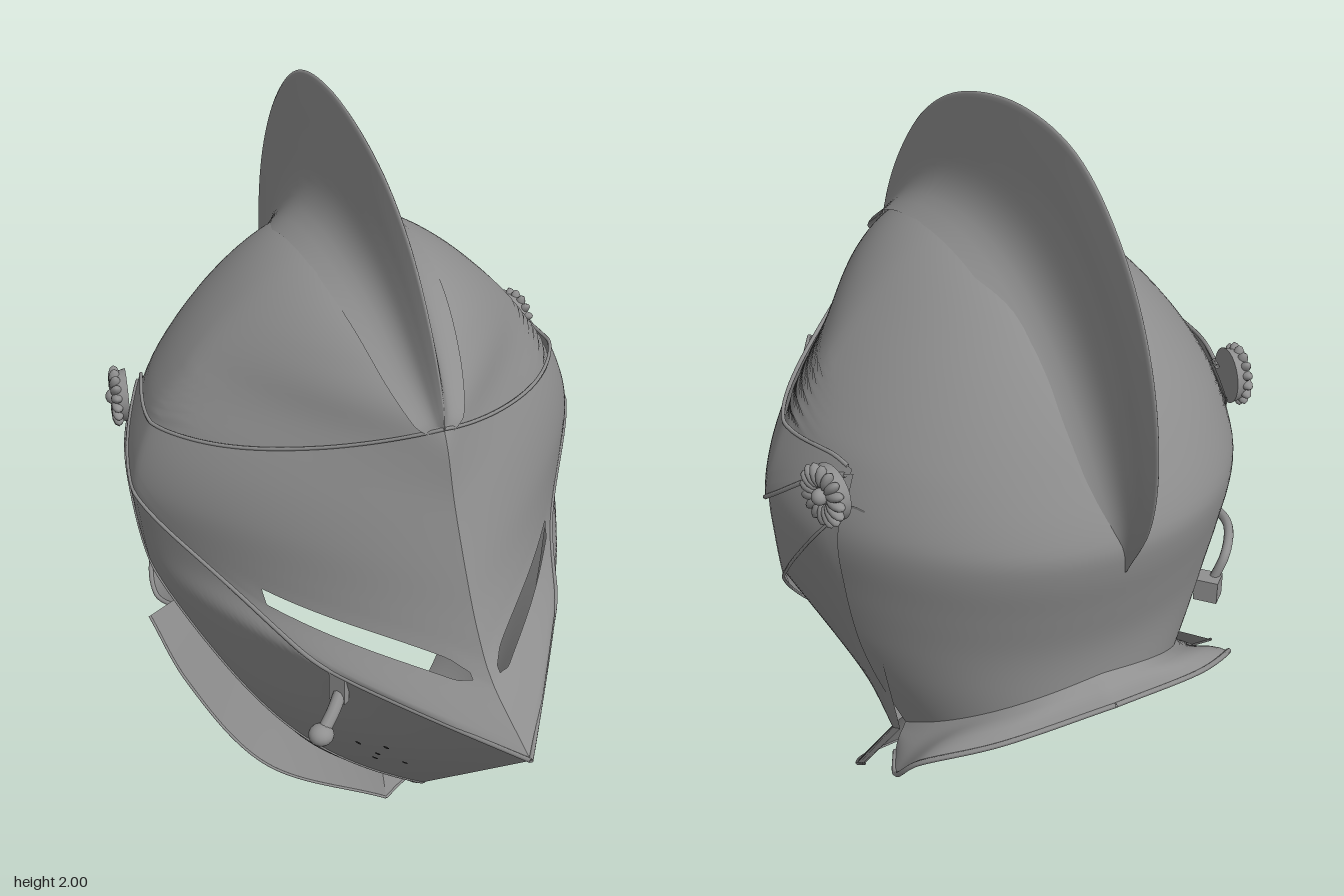
import * as THREE from 'three';
import { mergeGeometries, mergeVertices } from 'three/addons/utils/BufferGeometryUtils.js';

const { lerp, smoothstep, clamp } = THREE.MathUtils;
const V = (x, y, z) => new THREE.Vector3(x, y, z);

// Smooth interpolation through [key, value] pairs
function table(pts, key = k => k) {
  const p = pts.map(([k, v]) => [key(k), v]);
  const slope = i => {
    const a = p[Math.max(i - 1, 0)], b = p[Math.min(i + 1, p.length - 1)];
    return (b[1] - a[1]) / (b[0] - a[0]);
  };
  return k => {
    const q = clamp(key(k), p[0][0], p[p.length - 1][0]);
    let i = 0;
    while (i < p.length - 2 && q > p[i + 1][0]) i++;
    const h = p[i + 1][0] - p[i][0], t = (q - p[i][0]) / h, t2 = t * t, t3 = t2 * t;
    return (2 * t3 - 3 * t2 + 1) * p[i][1] + (t3 - 2 * t2 + t) * h * slope(i)
      + (3 * t2 - 2 * t3) * p[i + 1][1] + (t3 - t2) * h * slope(i + 1);
  };
}

// Helmet form by height: half width, front ridge, back line and roundness
const TOP = 1.69, ZW = -0.17;
const depth = y => Math.sqrt(Math.max(TOP - y, 0));
const width = table([[1.69, 0], [1.64, .19], [1.53, .335], [1.44, .42], [1.35, .49], [1.26, .545], [1.1, .597],
  [.95, .59], [.8, .567], [.7, .535], [.6, .49], [.466, .42], [.35, .36], [.2, .28]], depth);
const ridgeUpper = table([[1.69, ZW], [1.67, 0], [1.62, .13], [1.53, .265], [1.43, .385], [1.26, .455], [1.1, .534],
  [.98, .61], [.9, .7], [.836, .9]], depth);
const ridge = y => y > .836 ? ridgeUpper(y) : .9 - (.836 - y) * 1.07;
const back = table([[1.69, ZW], [1.67, -.34], [1.62, -.47], [1.53, -.58], [1.43, -.66], [1.3, -.735], [1.13, -.805],
  [1.05, -.8], [.92, -.765], [.8, -.735], [.7, -.725], [.4, -.72]], depth);
const power = table([[1.69, 2], [1.55, 1.7], [1.4, 1.35], [1.2, 1.35], [.95, 1.22], [.83, 1.22], [.7, 1.4], [.45, 2], [.2, 2.2]], depth);
const root = y => lerp(1, .5, smoothstep(y, 1.36, 1.66));
// Distance from the widest line, as a share of the way to the ridge (+) or the back (-)
const share = (z, y) => z > ZW
  ? Math.min((z - ZW) / Math.max(ridge(y) - ZW, 1e-4), 1)
  : Math.max((z - ZW) / Math.max(ZW - back(y), 1e-4), -1);
function half(z, y) {
  const s = share(z, y);
  return width(y) * (s > 0 ? Math.pow(1 - Math.pow(s, power(y)), root(y)) : Math.sqrt(1 - s * s));
}
// Point on the form: t = 0 on the front ridge, 1 at the widest place
function onForm(t, y, k = 1) {
  const z = ridge(y) - t * (ridge(y) - ZW);
  return V(half(z, y) * k, y, z);
}

// Surface from a rule fn(u, v)
function grid(fn, nu, nv, flip = false) {
  const pos = [], idx = [];
  for (let j = 0; j <= nv; j++) for (let i = 0; i <= nu; i++) pos.push(...fn(i / nu, j / nv).toArray());
  for (let j = 0; j < nv; j++) for (let i = 0; i < nu; i++) {
    const a = j * (nu + 1) + i, b = a + 1, c = a + nu + 1, d = c + 1;
    idx.push(...(flip ? [a, c, b, b, c, d] : [a, b, c, b, d, c]));
  }
  const g = new THREE.BufferGeometry();
  g.setAttribute('position', new THREE.Float32BufferAttribute(pos, 3));
  g.setIndex(idx);
  g.computeVertexNormals();
  return g;
}

export function createModel() {
  const steel = new THREE.MeshStandardMaterial({ color: 0x909090, side: THREE.DoubleSide });
  steel.name = 'steel';
  const dark = new THREE.MeshStandardMaterial({ color: 0x303030, side: THREE.DoubleSide });
  dark.name = 'dark hole';
  const model = new THREE.Group();
  model.name = 'helmet';
  const add = (name, geo, mat = steel, parent = model) => {
    const m = new THREE.Mesh(geo, mat);
    m.name = name;
    parent.add(m);
    return m;
  };
  const flipX = (p, s) => V(p.x * s, p.y, p.z);
  // Mirrored plate made of one or more [fn, nu, nv] patches welded together
  const plate = (name, patches) => [1, -1].forEach(s => {
    const gs = patches.map(([fn, nu, nv]) => grid((u, v) => flipX(fn(u, v), s), nu, nv, s > 0));
    gs.forEach(g => g.deleteAttribute('normal'));
    const g = mergeVertices(mergeGeometries(gs), 1e-4);
    g.computeVertexNormals();
    add(name + (s > 0 ? 'Left' : 'Right'), g);
  });
  const edge = (name, fn, r = .006) => [1, -1].forEach(s => {
    const pts = Array.from({ length: 33 }, (_, i) => flipX(fn(i / 32), s));
    add(name + (s > 0 ? 'Left' : 'Right'), new THREE.TubeGeometry(new THREE.CatmullRomCurve3(pts), 64, r, 6));
  });

  // Skull: open at the face, round at the back
  const skullAt = (c, v) => {
    const q = v * Math.sqrt(TOP - (.7 - .22 * Math.pow(c, 1.5)));
    const y = TOP - q * q, f = ridge(y), b = back(y);
    const start = share(lerp(-.42, f, smoothstep(y, 1.12, 1.4)), y);
    const s = Math.sin(lerp(-Math.PI / 2, Math.asin(start), c));
    const z = ZW + s * (s > 0 ? f - ZW : ZW - b);
    return V(half(z, y) * .985, y, z);
  };
  const sided = fn => (u, v) => flipX(fn(Math.abs(2 * u - 1), v), Math.sign(2 * u - 1));
  add('skull', grid(sided(skullAt), 96, 70));

  // Flared rim at the nape
  const rim = new THREE.CatmullRomCurve3([V(0, .645, -.785), V(.29, .6, -.73), V(.45, .535, -.63), V(.47, .45, -.55), V(.43, .445, -.47)]);
  const rimAt = (c, v) => {
    const p = skullAt(c, 1).lerp(rim.getPoint(c), v);
    p.y += .02 * Math.sin(Math.PI * v) * v;
    return p;
  };
  add('napeRim', grid(sided(rimAt), 64, 6));
  edge('napeEdge', c => rim.getPoint(c), .007);

  // Comb: thin fin that spreads into the skull
  const line = pts => new THREE.CatmullRomCurve3(pts.map(([z, y]) => V(0, y, z)));
  const crest = line([[.39, 1.42], [.375, 1.5], [.296, 1.656], [.164, 1.815], [-.02, 1.93], [-.31, 1.997], [-.55, 1.963],
    [-.735, 1.815], [-.857, 1.6], [-.903, 1.365], [-.884, 1.206], [-.805, 1.05]]);
  const foot = line([[.38, 1.4], [.36, 1.44], [.27, 1.52], [.14, 1.61], [0, 1.665], [-.2, 1.69], [-.38, 1.66],
    [-.53, 1.57], [-.66, 1.43], [-.75, 1.27], [-.79, 1.15], [-.79, 1.03]]);
  const finWidth = table([[-.1, .15], [0, .1], [.1, .07], [.25, .047], [.5, .03], [.75, .017], [1, .003]]);
  add('comb', grid((u, v) => {
    const w = 2 * v - 1, s = 1 - 1.1 * Math.pow(Math.abs(w), 1.3);
    const p = foot.getPoint(u).lerp(crest.getPoint(u), s);
    p.x = -Math.sign(w) * finWidth(s) * Math.pow(Math.sin(Math.PI * clamp(u, .004, .996)), .7);
    return p;
  }, 80, 40));

  // Plate edges as heights along t
  const visorTop = table([[0, 1.43], [.38, 1.33], [.68, 1.28], [1.03, 1.265], [1.3, 1.275], [1.4, 1.262]]);
  const slitTop = table([[0, .905], [.05, .91], [.1, .922], [.58, .937], [.75, 1], [1.04, 1.16], [1.4, 1.256]]);
  const slitLow = table([[0, .895], [.05, .9], [.1, .892], [.58, .902], [.75, .967], [1.04, 1.13], [1.4, 1.253]]);
  const visorLow = table([[0, .836], [.27, .825], [.465, .83], [.606, .873], [.785, .965], [1.04, 1.1], [1.28, 1.22], [1.4, 1.25]]);
  const chinLow = table([[0, .27], [.358, .38], [.607, .5], [.87, .7], [1.06, .9], [1.305, 1.1], [1.4, 1.17]]);
  const strip = (a, b, t0, t1, nu, nv, k) => [(u, v) => {
    const t = lerp(t0, t1, u);
    return onForm(t, lerp(a(t), b(t), v), k);
  }, nu, nv];

  // Visor with an open eye slit on each side
  const K = 1.015, visor = [];
  [[0, .05, 4], [.05, .58, 28], [.58, 1.4, 40]].forEach(([t0, t1, n], i) => {
    visor.push(strip(visorTop, slitTop, t0, t1, n, 24, K), strip(slitLow, visorLow, t0, t1, n, 8, K));
    if (i !== 1) visor.push(strip(slitTop, slitLow, t0, t1, n, 2, K));
  });
  plate('visor', visor);
  edge('visorTopEdge', u => onForm(u * 1.38, visorTop(u * 1.38), K), .005);
  edge('visorLowEdge', u => onForm(u * 1.38, visorLow(u * 1.38), K));

  // Upper bevor
  plate('upperBevor', [strip(visorLow, chinLow, 0, 1.4, 64, 30, 1)]);
  edge('upperBevorEdge', u => onForm(u * 1.38, chinLow(u * 1.38)), .004);

  // Lower bevor, drawn in to the throat
  const curve = pts => new THREE.CatmullRomCurve3(pts.map(p => V(...p)));
  const brow = new THREE.CatmullRomCurve3(Array.from({ length: 25 }, (_, i) => {
    const t = i / 24 * 1.46;
    return onForm(t, Math.min(chinLow(t) + .03, 1.18), .99);
  }));
  const jaw = curve([[0, .2, .2], [.25, .33, .08], [.385, .5, -.13], [.46, .7, -.34], [.475, .84, -.47]]);
  const throat = curve([[0, .17, -.02], [.2, .25, -.14], [.35, .37, -.3], [.41, .5, -.46]]);
  plate('lowerBevor', [[(u, v) => new THREE.CatmullRomCurve3(
    [brow.getPointAt(u), jaw.getPointAt(u), throat.getPointAt(u)]).getPoint(v), 48, 20]]);

  // Throat flange
  const hem = curve([[0, .003, .04], [.31, .12, -.1], [.46, .3, -.31], [.515, .44, -.47]]);
  plate('collar', [[(u, v) => throat.getPointAt(u).lerp(hem.getPointAt(u), v), 40, 4]]);
  edge('collarEdge', u => hem.getPointAt(u), .004);

  // Pivot rosettes
  [1, -1].forEach(s => {
    const g = new THREE.Group();
    g.name = s > 0 ? 'rosetteLeft' : 'rosetteRight';
    g.position.set(s * .558, 1.21, -.41);
    g.rotation.y = s * (Math.PI / 2 + .2);
    model.add(g);
    add('disc', new THREE.CylinderGeometry(.062, .07, .03, 32).rotateX(Math.PI / 2), steel, g);
    for (let i = 0; i < 16; i++) {
      const a = i / 16 * Math.PI * 2;
      const petal = add('petal', new THREE.SphereGeometry(1, 10, 8), steel, g);
      petal.scale.set(.03, .0125, .016);
      petal.position.set(Math.cos(a) * .05, Math.sin(a) * .05, .014);
      petal.rotation.z = a;
    }
    add('rivet', new THREE.SphereGeometry(.02, 16, 12), steel, g).position.z = .022;
  });

  // Lifting peg on the right side of the visor
  const rod = (name, pts, r) => add(name, new THREE.TubeGeometry(curve(pts), 24, r, 10));
  add('pegStrap', new THREE.BoxGeometry(.045, .085, .02).rotateY(-.95)).position.set(-.285, .785, .425);
  rod('pegStem', [[-.275, .775, .42], [-.31, .735, .45], [-.345, .7, .472]], .017);
  const knob = add('pegKnob', new THREE.SphereGeometry(.032, 16, 12));
  knob.position.set(-.352, .693, .475);
  knob.scale.y = .85;

  // Breath holes on the right cheek
  [[.21, .535], [.165, .565], [.165, .5], [.16, .46], [.11, .49]].forEach(([x, y]) => {
    const t = 1 - Math.pow(1 - x / width(y), 1 / power(y));
    const p = onForm(t, y), du = onForm(t + .02, y).sub(p), dv = onForm(t, y - .02).sub(p);
    const n = flipX(dv.cross(du).normalize(), -1);
    const hole = add('breathHole', new THREE.CircleGeometry(.008, 12), dark);
    hole.position.copy(flipX(p, -1)).addScaledVector(n, .003);
    hole.quaternion.setFromUnitVectors(V(0, 0, 1), n);
  });

  // Locking hook on the right side
  add('hookMount', new THREE.BoxGeometry(.05, .06, .06).rotateY(.7)).position.set(-.39, .74, -.6);
  rod('hook', [[-.4, .75, -.6], [-.435, .82, -.6], [-.5, .84, -.52], [-.525, .83, -.43], [-.52, .82, -.38]], .012);
  add('hookCatch', new THREE.BoxGeometry(.035, .035, .07)).position.set(-.515, .82, -.4);
  return model;
}
